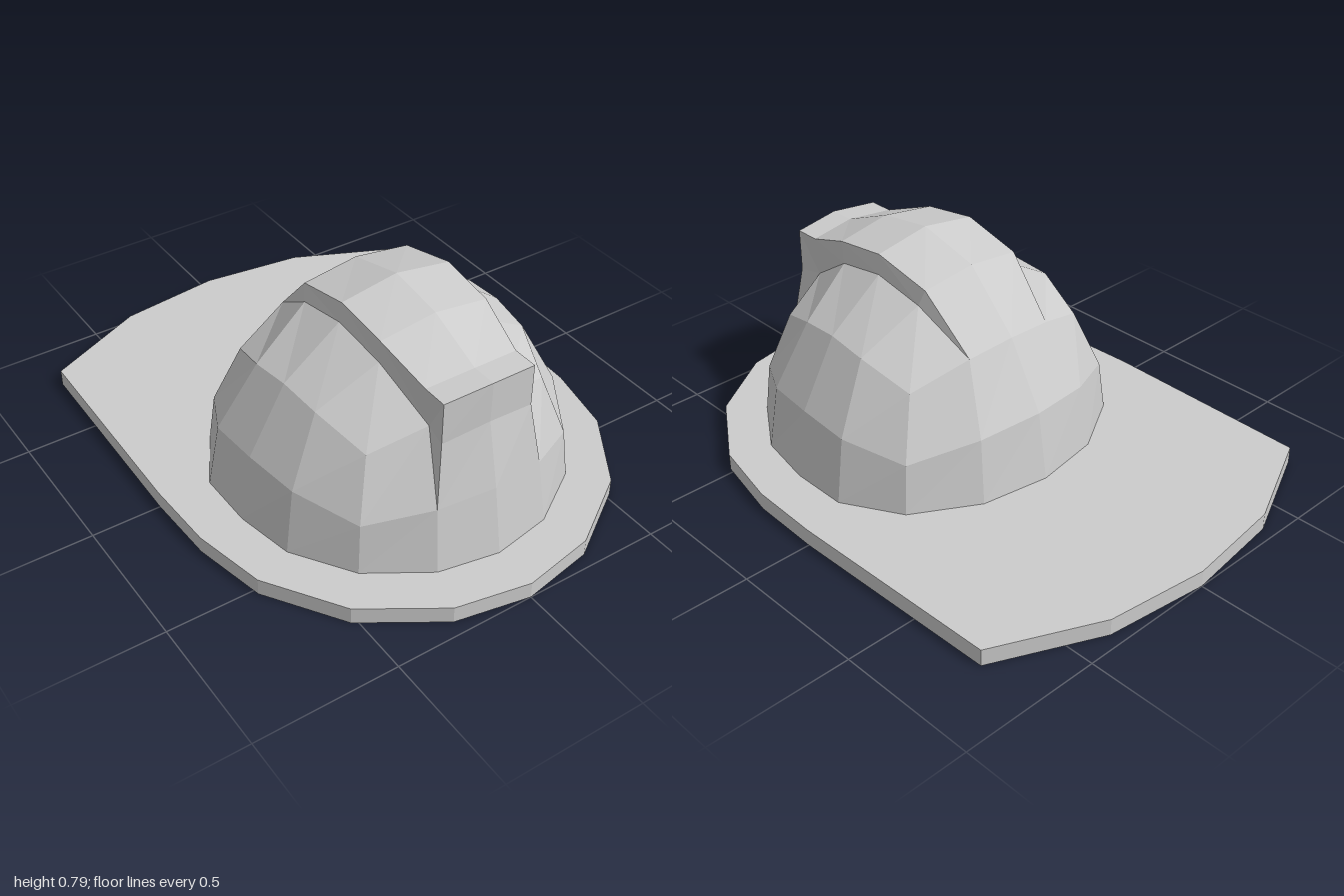
import * as THREE from 'three';

const material = new THREE.MeshStandardMaterial({ color: 0xcccccc, flatShading: true, side: THREE.DoubleSide });
const BRIM = 0.06, CENTER_Z = 0.257, THICKNESS = 0.025;

function addMesh(group, geometry, name) {
  const mesh = new THREE.Mesh(geometry, material);
  mesh.name = name;
  group.add(mesh);
}

function faceted(indexed) {
  const geometry = indexed.toNonIndexed();
  geometry.computeVertexNormals();
  return geometry;
}

// Grid point on a cube (coordinates 0, 0.5 or 1, either sign) to a point on the crown:
// an ellipsoid, a little wider towards the back
function crownPoint(x, y, z, inset = 0) {
  const bend = (t) => t * (0.54 + 0.46 * Math.abs(t) ** 1.0) ;
  const d = new THREE.Vector3(bend(x), bend(y), bend(z)).normalize();
  const widen = d.z < 0 ? 1 - 0.21 * d.z * (1 + 0.1 * d.z) : 1;
  return new THREE.Vector3(
    d.x * (0.59 - inset) * widen, BRIM + d.y * (0.67 - inset), CENTER_Z + d.z * (0.583 - inset));
}

// Crown shell: the upper half of a box grid rounded into a dome, open underneath
function crownGeometry(inset) {
  const box = new THREE.BoxGeometry(2, 1, 2, 4, 2, 4).translate(0, 0.5, 0);
  const bottom = box.groups[3];
  const index = Array.from(box.index.array);
  index.splice(bottom.start, bottom.count);
  box.setIndex(index);
  box.clearGroups();
  const pos = box.attributes.position;
  for (let i = 0; i < pos.count; i++) {
    const p = crownPoint(pos.getX(i), pos.getY(i), pos.getZ(i), inset);
    pos.setXYZ(i, p.x, p.y, p.z);
  }
  return faceted(box);
}

// Brim: round at the front, long and broad at the back, with the head opening cut out
function brimGeometry() {
  const half = [[0, 1], [0.26, 0.95], [0.52, 0.78], [0.69, 0.52], [0.745, 0.26], [0.755, 0],
    [0.74, -0.785], [0.37, -0.955], [0, -1]];
  const mirrored = half.slice(1, -1).reverse().map(([x, z]) => [-x, z]);
  const shape = new THREE.Shape([...half, ...mirrored].map(([x, z]) => new THREE.Vector2(x, -z)));
  const opening = [];
  for (let i = 0; i < 16; i++) {
    // Walk round the square: each coordinate is a clipped triangle wave
    const wave = (k) => THREE.MathUtils.clamp(2 - Math.abs((k + 16) % 16 - 8) * 0.5, -1, 1);
    const p = crownPoint(wave(i), 0, wave(i + 4), THICKNESS);
    opening.push(new THREE.Vector2(p.x, -p.z));
  }
  shape.holes.push(new THREE.Path(opening));
  return new THREE.ExtrudeGeometry(shape, { depth: BRIM, bevelEnabled: false }).rotateX(-Math.PI / 2);
}

// Ridge: a raised strip over the crown with a blunt front, running out at the back
function ridgeGeometry() {
  // Raised stations: middle y and z, edge x, y and z, then the crown grid row (y, z) below
  const raised = [
    [0.53, 0.752, 0.17, 0.51, 0.738, 1, 1],
    [0.675, 0.755, 0.17, 0.66, 0.74, 1, 1],
    [0.675, 0.665, 0.17, 0.66, 0.65, 1, 1],
    [0.76, 0.465, 0.2, 0.73, 0.46, 1, 0.5],
    [0.79, 0.26, 0.205, 0.757, 0.26, 1, 0],
    [0.73, 0.035, 0.2, 0.705, 0.04, 1, -0.5],
  ];
  const rows = raised.map(([my, mz, x, y, z, gy, gz]) => {
    const foot = crownPoint(0.5, gy, gz);
    return [foot, new THREE.Vector3(x, y, z), new THREE.Vector3(0, my, mz)];
  });
  // Both ends merge into the crown
  const end = (gy, gz) => [crownPoint(0.5, gy, gz), crownPoint(0.5, gy, gz), crownPoint(0, gy, gz)];
  rows.unshift(end(0.5, 1));
  rows.push(end(1, -1));

  const vertices = [], index = [];
  for (const [foot, edge, mid] of rows) {
    for (const p of [foot, edge, mid]) vertices.push(p.x, p.y, p.z);
    for (const p of [edge, foot]) vertices.push(-p.x, p.y, p.z);
  }
  for (let s = 0; s < rows.length - 1; s++) {
    for (let k = 0; k < 4; k++) {
      const a = s * 5 + k, b = a + 5;
      index.push(a, b, a + 1, b, b + 1, a + 1);
    }
  }
  const geometry = new THREE.BufferGeometry();
  geometry.setAttribute('position', new THREE.Float32BufferAttribute(vertices, 3));
  geometry.setIndex(index);
  return faceted(geometry);
}

export function createModel() {
  const helmet = new THREE.Group();
  helmet.name = 'helmet';
  addMesh(helmet, brimGeometry(), 'brim');
  addMesh(helmet, crownGeometry(0), 'crown');
  addMesh(helmet, crownGeometry(THICKNESS), 'crownLining');
  addMesh(helmet, ridgeGeometry(), 'ridge');
  return helmet;
}
